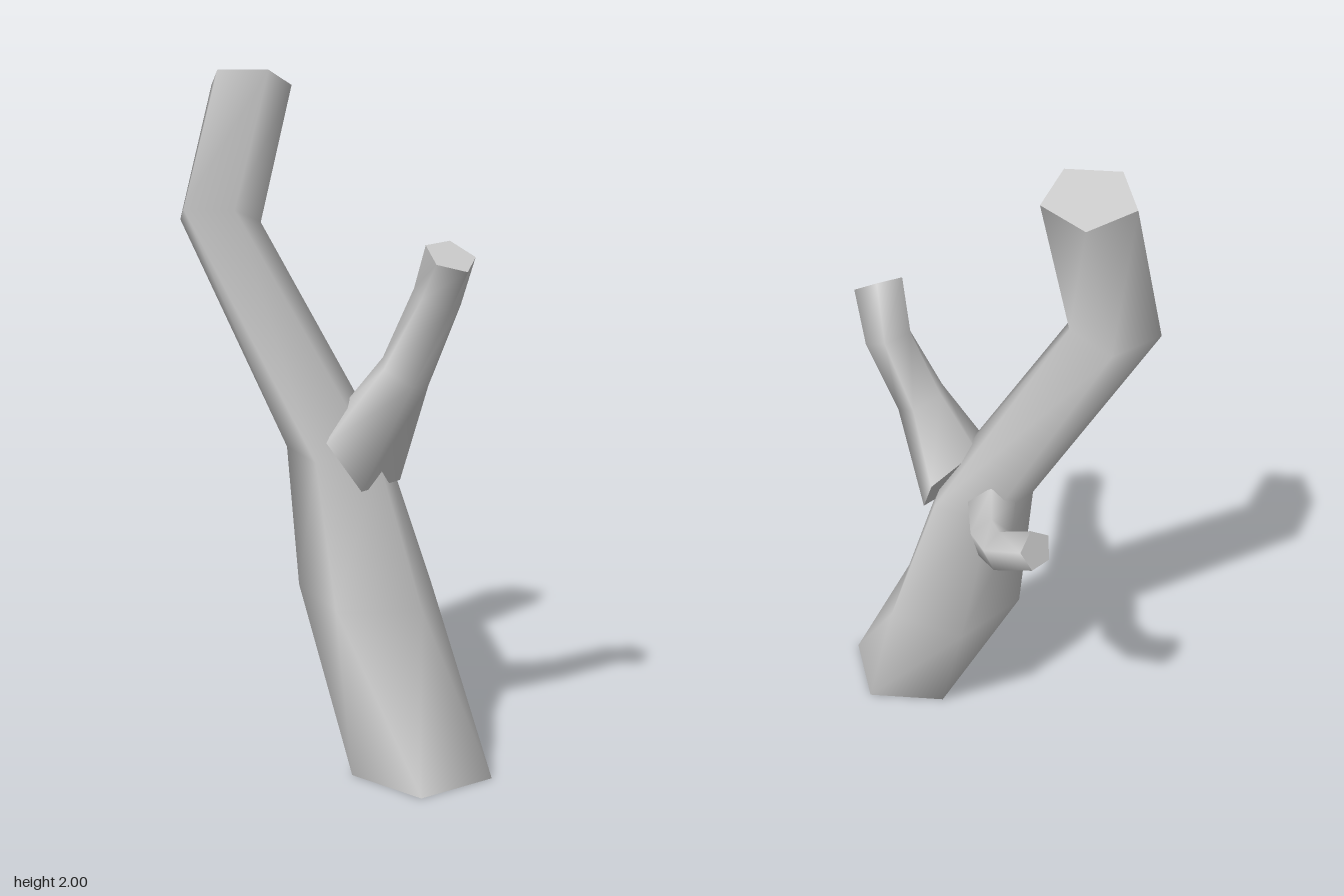
import * as THREE from 'three';

const SIDES = 5;
const UP = new THREE.Vector3(0, 1, 0);

// Pentagon ring: centre, radius, normal of its plane, rotation in degrees
function ringPoints([center, radius, normal, angle]) {
  const tilt = new THREE.Quaternion().setFromUnitVectors(UP, new THREE.Vector3(...normal).normalize());
  const points = [];
  for (let j = 0; j < SIDES; j++) {
    const a = THREE.MathUtils.degToRad(angle + j * 360 / SIDES);
    points.push(new THREE.Vector3(Math.cos(a) * radius, 0, Math.sin(a) * radius)
      .applyQuaternion(tilt).add(new THREE.Vector3(...center)));
  }
  return points;
}

// Smooth tapered limb lofted through rings, closed by flat end caps
function limb(name, rings, material) {
  const loops = rings.map(ringPoints);
  const vertices = loops.flat();
  const index = [];
  for (let i = 0; i < loops.length - 1; i++) {
    for (let j = 0; j < SIDES; j++) {
      const a = i * SIDES + j, b = i * SIDES + (j + 1) % SIDES;
      const c = a + SIDES, d = b + SIDES;
      index.push(a, c, b, b, c, d);
    }
  }
  // Caps have their own vertices so their rims stay sharp
  const start = vertices.length, end = start + SIDES;
  vertices.push(...loops[0], ...loops[loops.length - 1]);
  for (let j = 1; j < SIDES - 1; j++) {
    index.push(start, start + j, start + j + 1);
    index.push(end, end + j + 1, end + j);
  }
  const geometry = new THREE.BufferGeometry().setFromPoints(vertices);
  geometry.setIndex(index);
  geometry.computeVertexNormals();
  const mesh = new THREE.Mesh(geometry, material);
  mesh.name = name;
  return mesh;
}

export function createModel() {
  const group = new THREE.Group();
  group.name = 'bareTree';
  const bark = new THREE.MeshStandardMaterial({ color: 0xcccccc });

  // Leaning, twisting trunk
  group.add(limb('trunk', [
    [[-0.07, 0, 0.285], 0.21, [0, 1, 0], 3],
    [[-0.02, 0.48, 0.06], 0.213, [0, 1, 0.06], 27],
    [[-0.07, 0.9, -0.01], 0.158, [0, 1, 0.1], 25],
    [[-0.18, 1.575, -0.375], 0.128, [0.25, 1, -0.1], 44],
    [[-0.07, 1.97, -0.34], 0.126, [0.23, 1, -0.12], 42],
  ], bark));

  // Branch rising towards the front, with a flared base
  group.add(limb('frontBranch', [
    [[-0.065, 0.92, 0.075], 0.145, [-0.1, 0.5, 0.86], 58],
    [[-0.06, 1.15, 0.205], 0.08, [0.1, 0.85, 0.5], 50],
    [[-0.015, 1.36, 0.285], 0.073, [0, 0.92, 0.4], 40],
    [[-0.062, 1.485, 0.36], 0.075, [-0.28, 1, 0.6], 32],
  ], bark));

  // Smaller branch bending out to the left and back
  group.add(limb('backBranch', [
    [[0.03, 0.95, -0.125], 0.072, [0.8, 0.1, -0.6], 143],
    [[0.155, 0.965, -0.22], 0.062, [0.75, 0.25, -0.6], 141],
    [[0.24, 1.03, -0.32], 0.056, [0.4, 0.4, -0.8], 117],
    [[0.24, 1.093, -0.432], 0.056, [0.12, 0.4, -0.9], 98],
  ], bark));

  return group;
}
